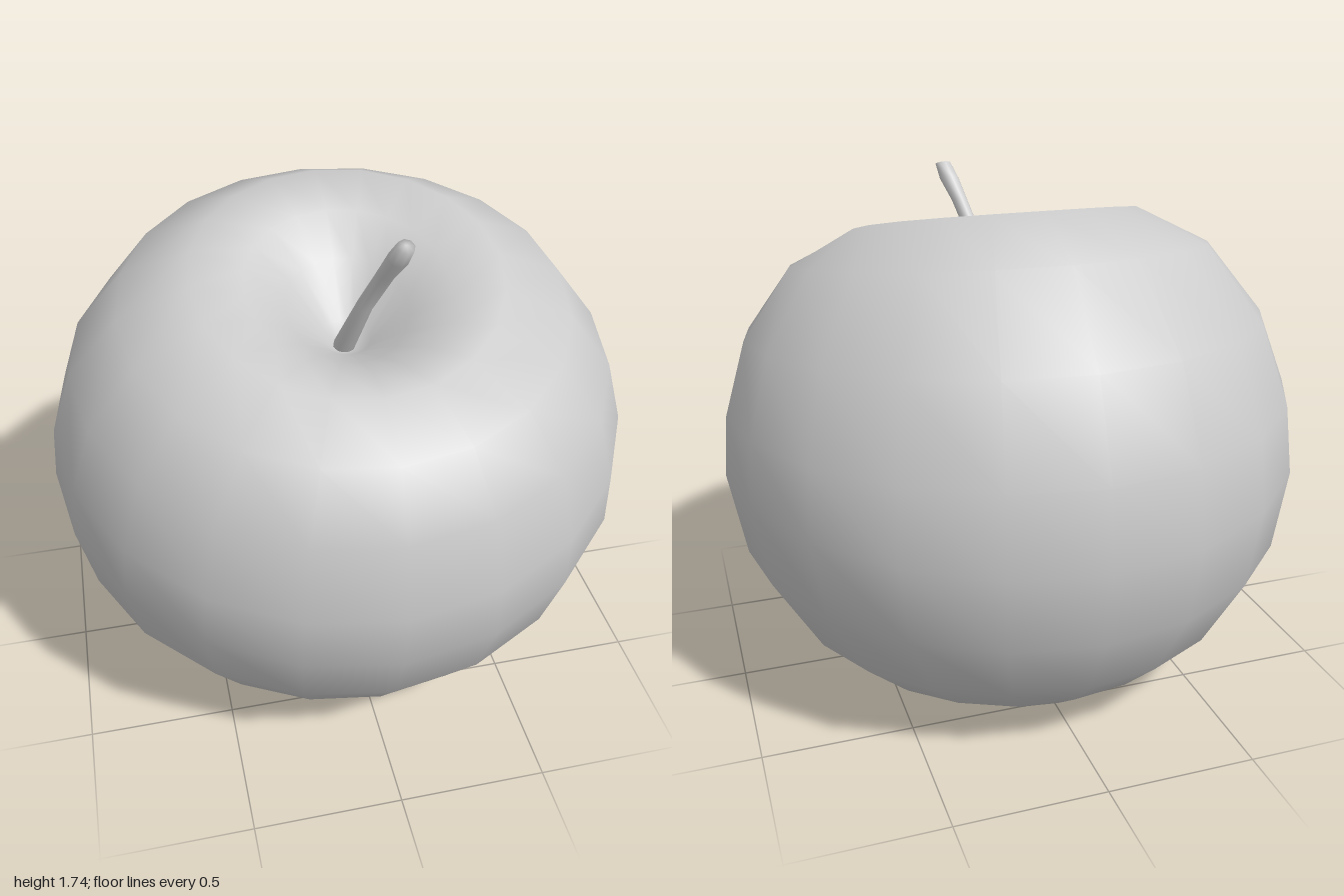
import * as THREE from 'three';

// Smooth closed skin over rings of points, capped with a point at each end
function loft(start, rings, end) {
  const n = rings[0].length;
  const points = [start, ...rings.flat(), end];
  const last = points.length - 1;
  const index = [];
  for (let i = 0; i < n; i++) {
    const j = (i + 1) % n;
    index.push(0, 1 + i, 1 + j);
    for (let r = 0; r < rings.length - 1; r++) {
      const a = 1 + r * n, b = a + n;
      index.push(a + i, b + i, b + j, a + i, b + j, a + j);
    }
    const c = 1 + (rings.length - 1) * n;
    index.push(c + i, last, c + j);
  }
  const geometry = new THREE.BufferGeometry().setFromPoints(points);
  geometry.setIndex(index);
  geometry.computeVertexNormals();
  return geometry;
}

export function createModel() {
  const model = new THREE.Group();
  const grey = new THREE.MeshStandardMaterial({ color: 0xcccccc });
  grey.name = 'light grey';
  const V = (x, y, z) => new THREE.Vector3(x, y, z);
  const add = (name, geometry, parent = model) => {
    const mesh = new THREE.Mesh(geometry, grey);
    mesh.name = name;
    parent.add(mesh);
    return mesh;
  };

  // Body rings from top hollow to bottom hollow:
  // front z, front y, back z, back y, half width, side y
  const profile = [
    [0.22, 1.3, 0.06, 1.33, 0.08, 1.31],
    [0.36, 1.36, -0.06, 1.5, 0.2, 1.44],
    [0.5, 1.41, -0.18, 1.62, 0.33, 1.53],
    [0.64, 1.42, -0.34, 1.69, 0.5, 1.57],
    [0.83, 1.31, -0.6, 1.58, 0.73, 1.46],
    [0.94, 1.11, -0.83, 1.32, 0.9, 1.24],
    [0.98, 0.85, -0.95, 1.02, 0.98, 1.0],
    [0.96, 0.64, -0.98, 0.76, 1.0, 0.8],
    [0.86, 0.4, -0.94, 0.5, 0.95, 0.52],
    [0.7, 0.19, -0.82, 0.27, 0.79, 0.25],
    [0.52, 0.07, -0.7, 0.15, 0.62, 0.1],
    [0.34, 0.015, -0.55, 0.035, 0.43, 0.015],
    [0.18, 0.02, -0.34, 0.03, 0.25, 0.03],
    [0.05, 0.12, -0.18, 0.12, 0.11, 0.12],
  ];
  const sides = 20;
  const rings = profile.map(([zf, yf, zb, yb, w, ys]) =>
    Array.from({ length: sides }, (_, i) => {
      const a = (i / sides) * Math.PI * 2;
      const c = Math.cos(a), s = Math.sin(a);
      const ym = (yf + yb) / 2;
      return V(w * s, ym + ((yf - yb) / 2) * c + (ys - ym) * s * s, (zf + zb) / 2 + ((zf - zb) / 2) * c);
    }));
  add('appleBody', loft(V(-0.01, 1.26, 0.13), rings, V(0, 0.16, -0.07)));

  // Leaning stem with a bent, thicker tip: x, y, z, radius from the tip down
  const stemRings = [
    [0.13, 1.74, 0.35, 0.028],
    [0.115, 1.69, 0.325, 0.034],
    [0.09, 1.62, 0.285, 0.028],
    [0.045, 1.47, 0.205, 0.027],
    [-0.01, 1.27, 0.13, 0.036],
  ].map(([x, y, z, r]) => Array.from({ length: 8 }, (_, i) => {
    const a = (i / 8) * Math.PI * 2;
    return V(x + r * Math.sin(a), y - 0.4 * r * Math.cos(a), z + r * Math.cos(a));
  }));
  add('stem', loft(V(0.13, 1.745, 0.35), stemRings, V(-0.01, 1.24, 0.12)));

  // Dried flower remains in the bottom hollow
  const calyx = new THREE.Group();
  calyx.name = 'calyx';
  calyx.position.set(0, 0.09, -0.07);
  model.add(calyx);
  for (let i = 0; i < 5; i++) {
    const a = (i / 5) * Math.PI * 2;
    const sepal = add('sepal', new THREE.ConeGeometry(0.03, 0.11, 5), calyx);
    sepal.position.set(0.06 * Math.sin(a), 0, 0.06 * Math.cos(a));
    sepal.rotation.set(Math.PI - 0.4 * Math.cos(a), 0, 0.4 * Math.sin(a));
  }
  return model;
}
